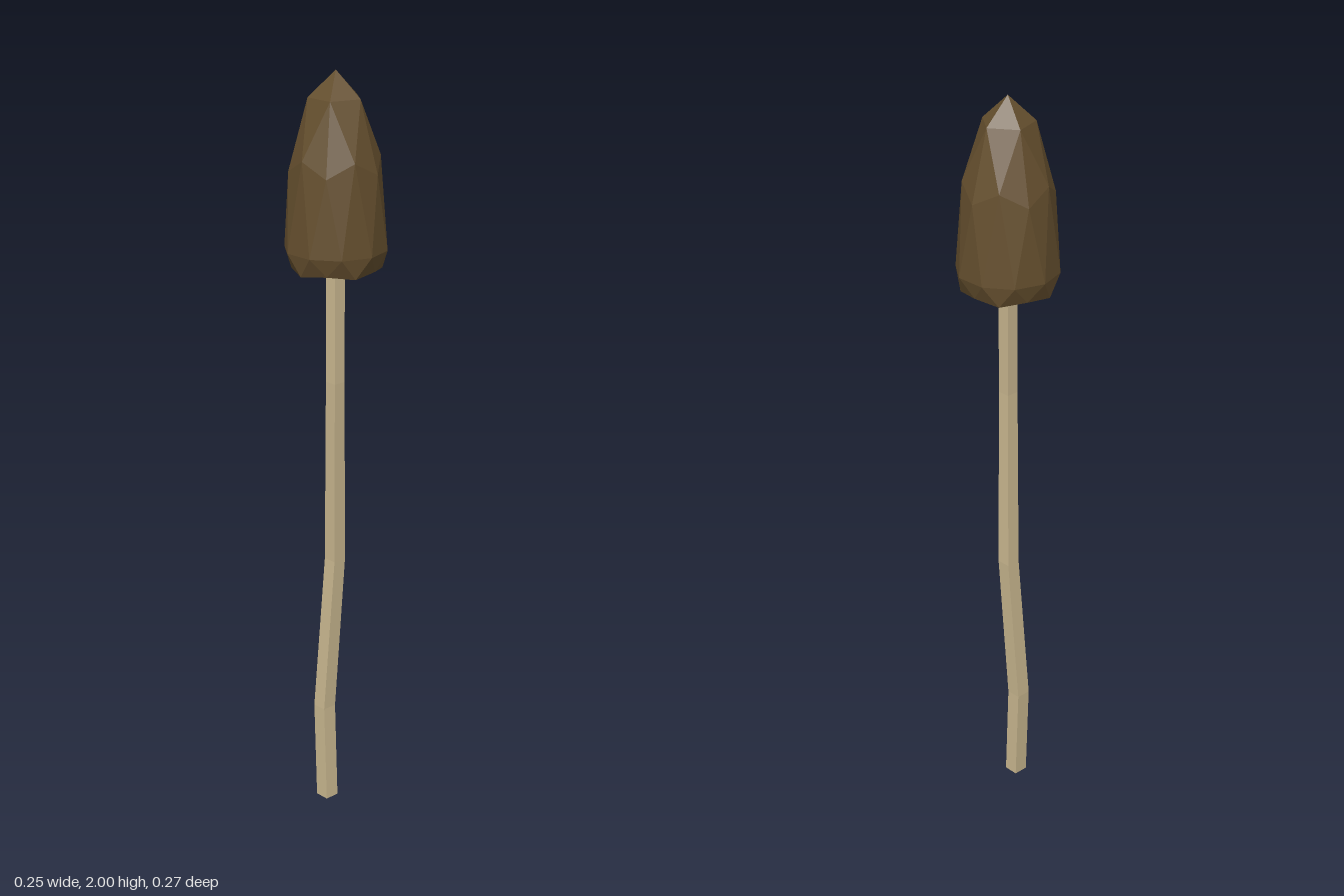
import * as THREE from 'three';

// Builds a flat-shaded mesh from points and triangle indices.
function facetedMesh(name, points, faces, material) {
  const indexed = new THREE.BufferGeometry().setFromPoints(points);
  indexed.setIndex(faces.flat());
  const geometry = indexed.toNonIndexed();
  geometry.computeVertexNormals();
  const mesh = new THREE.Mesh(geometry, material);
  mesh.name = name;
  return mesh;
}

// Hollow cap: a stretched geodesic dome whose underside is pushed up inside.
function createCap(material) {
  const points = [];
  const ring = (count, startDeg, radii, heights) => {
    const first = points.length;
    for (let i = 0; i < count; i++) {
      const a = THREE.MathUtils.degToRad(startDeg + (360 / count) * i);
      const r = radii[i % radii.length];
      points.push(new THREE.Vector3(Math.cos(a) * r, heights[i % heights.length], Math.sin(a) * r));
    }
    return (i) => first + ((i + count) % count);
  };
  const tip = ring(1, 0, [0], [2]);
  const crown = ring(5, 0, [0.07], [1.933]);
  const shoulder = ring(10, 0, [0.119, 0.113], [1.75, 1.787]);
  const waist = ring(10, 18, [0.133], [1.55]);
  const rim = ring(10, 0, [0.113, 0.119], [1.503, 1.496]);
  const ceiling = ring(5, 36, [0.07], [1.65]);
  const hollow = ring(1, 0, [0], [1.7]);

  const faces = [];
  for (let i = 0; i < 5; i++) {
    const j = 2 * i;
    // pointed top
    faces.push([tip(0), crown(i + 1), crown(i)]);
    faces.push([crown(i), shoulder(j + 1), shoulder(j)]);
    faces.push([crown(i), crown(i + 1), shoulder(j + 1)]);
    faces.push([crown(i + 1), shoulder(j + 2), shoulder(j + 1)]);
    // inside of the cap
    faces.push([hollow(0), ceiling(i), ceiling(i + 1)]);
    faces.push([ceiling(i), rim(j + 1), rim(j + 2)]);
    faces.push([ceiling(i), rim(j + 2), ceiling(i + 1)]);
    faces.push([ceiling(i + 1), rim(j + 2), rim(j + 3)]);
  }
  for (let k = 0; k < 10; k++) {
    // side walls and turned-in rim
    faces.push([shoulder(k), shoulder(k + 1), waist(k)]);
    faces.push([shoulder(k + 1), waist(k + 1), waist(k)]);
    faces.push([rim(k), waist(k), rim(k + 1)]);
    faces.push([rim(k + 1), waist(k), waist(k + 1)]);
  }
  return facetedMesh('cap', points, faces, material);
}

// Thin square stem that bends along its height: [x, y, z, half width].
function createStem(material) {
  const sections = [
    [-0.032, 0, 0, 0.02],
    [-0.03, 0.27, -0.012, 0.02],
    [-0.003, 0.7, 0, 0.019],
    [-0.012, 1.2, 0.011, 0.017],
    [-0.004, 1.52, 0.003, 0.017],
    [0, 1.7, 0, 0.017],
  ];
  const corners = [[1, 1], [1, -1], [-1, -1], [-1, 1]];
  const points = [];
  const faces = [[0, 2, 1], [0, 3, 2]];
  sections.forEach(([x, y, z, h], s) => {
    corners.forEach(([cx, cz], c) => {
      points.push(new THREE.Vector3(x + cx * h, y, z + cz * h));
      if (s === 0) return;
      const next = (c + 1) % 4;
      const low = (s - 1) * 4;
      const high = s * 4;
      faces.push([low + c, low + next, high + next], [low + c, high + next, high + c]);
    });
  });
  const t = (sections.length - 1) * 4;
  faces.push([t, t + 1, t + 2], [t, t + 2, t + 3]);
  return facetedMesh('stem', points, faces, material);
}

export function createModel() {
  const capBrown = new THREE.MeshStandardMaterial({ color: 0x654f2e, flatShading: true });
  capBrown.name = 'capBrown';
  const stemTan = new THREE.MeshStandardMaterial({ color: 0xc9b78f, flatShading: true });
  stemTan.name = 'stemTan';

  const mushroom = new THREE.Group();
  mushroom.name = 'mushroom';
  mushroom.add(createCap(capBrown), createStem(stemTan));
  return mushroom;
}
